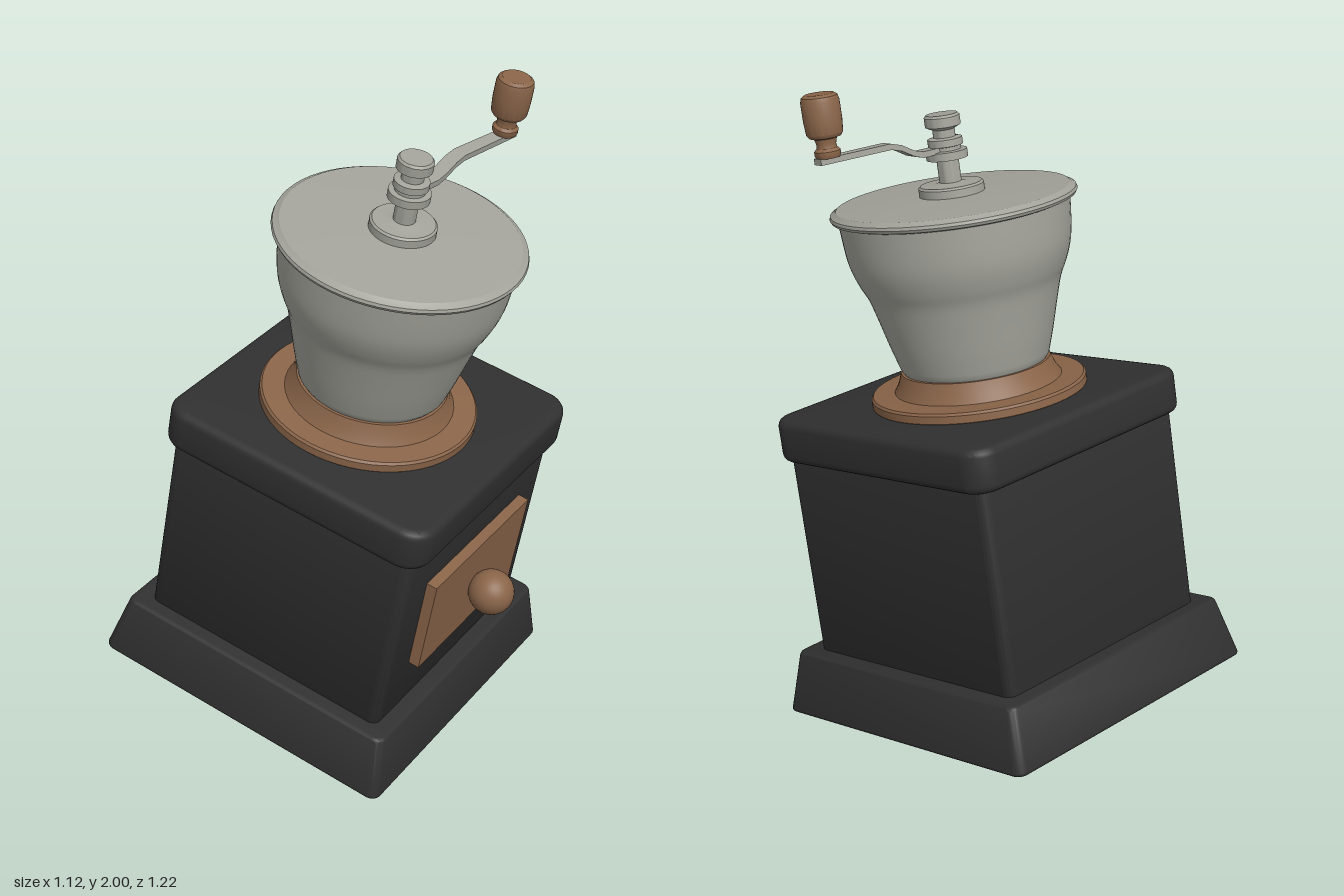
import * as THREE from 'three';
import { toCreasedNormals } from 'three/addons/utils/BufferGeometryUtils.js';

const paint = (color) => new THREE.MeshStandardMaterial({ color });
const deg = THREE.MathUtils.degToRad;

function add(parent, name, geometry, material, x = 0, y = 0, z = 0) {
  const mesh = new THREE.Mesh(geometry, material);
  mesh.name = name;
  mesh.position.set(x, y, z);
  parent.add(mesh);
  return mesh;
}

// Square block standing on y = 0: rounded corners, bevelled edges, optional taper to the top
function block(half, height, radius, bevel, topScale = 1) {
  const a = half - bevel, r = radius - bevel;
  const s = new THREE.Shape();
  s.absarc(a - r, a - r, r, 0, Math.PI / 2);
  s.absarc(-a + r, a - r, r, Math.PI / 2, Math.PI);
  s.absarc(-a + r, -a + r, r, Math.PI, Math.PI * 1.5);
  s.absarc(a - r, -a + r, r, Math.PI * 1.5, Math.PI * 2);
  const g = new THREE.ExtrudeGeometry(s, {
    depth: height - 2 * bevel, bevelSize: bevel, bevelThickness: bevel, bevelSegments: 4, curveSegments: 6,
  });
  g.rotateX(-Math.PI / 2).translate(0, bevel, 0);
  const p = g.attributes.position;
  for (let i = 0; i < p.count; i++) {
    const k = 1 + (topScale - 1) * p.getY(i) / height;
    p.setX(i, p.getX(i) * k);
    p.setZ(i, p.getZ(i) * k);
  }
  return toCreasedNormals(g, deg(35));
}

// Turned part from [radius, y] pairs, bottom to top
function turned(points, segments = 48) {
  const g = new THREE.LatheGeometry(points.map(([r, y]) => new THREE.Vector2(r, y)), segments);
  return toCreasedNormals(g, deg(32));
}

export function createModel() {
  const black = paint(0x303030), wood = paint(0x8a6549), metal = paint(0xa3a39b);
  const root = new THREE.Group();
  root.name = 'coffeeGrinder';

  // The whole grinder leans forward and is turned slightly
  const grinder = new THREE.Group();
  grinder.name = 'leaningGrinder';
  grinder.rotation.set(deg(10.3), deg(6.9), 0, 'YXZ');
  grinder.position.set(-0.005, 0.092, -0.053);
  root.add(grinder);

  // Wooden box
  add(grinder, 'base', block(0.512, 0.195, 0.035, 0.012, 0.92), black);
  add(grinder, 'body', block(0.418, 0.7, 0.03, 0.01), black, 0, 0.16);
  add(grinder, 'boxTop', block(0.452, 0.135, 0.08, 0.025), black, 0, 0.82);

  // Drawer with round knob
  add(grinder, 'drawerFront', new THREE.BoxGeometry(0.555, 0.315, 0.06), wood, 0, 0.514, 0.422);
  add(grinder, 'drawerKnob', new THREE.SphereGeometry(0.07, 32, 20), wood, 0, 0.513, 0.513);

  // Turned parts share one axis
  const mill = new THREE.Group();
  mill.name = 'mill';
  mill.position.set(-0.01, 0, -0.012);
  grinder.add(mill);

  add(mill, 'collar', turned([
    [0, 0.95], [0.322, 0.95], [0.328, 0.957], [0.328, 0.98], [0.322, 0.987],
    [0.255, 0.99], [0.24, 1.015], [0.228, 1.05], [0, 1.05],
  ], 64), wood);

  // Bowl: straight cone flowing into a wider shoulder
  const bowlCurve = new THREE.SplineCurve([
    [0.226, 1.06], [0.247, 1.13], [0.271, 1.22], [0.291, 1.29], [0.312, 1.335],
    [0.33, 1.385], [0.34, 1.44], [0.348, 1.54],
  ].map(([r, y]) => new THREE.Vector2(r, y)));
  const bowl = bowlCurve.getPoints(28).map((p) => [p.x, p.y]);
  add(mill, 'bowl', turned([[0, 1.045], [0.215, 1.045], ...bowl], 64), metal);

  add(mill, 'bowlLid', turned([
    [0, 1.532], [0.355, 1.532], [0.366, 1.536], [0.371, 1.545], [0.368, 1.554],
    [0.358, 1.559], [0.35, 1.565], [0.2, 1.572], [0, 1.575],
  ], 64), metal);

  // Spindle with stacked washers and top nut
  add(mill, 'spindle', turned([
    [0.098, 1.565], [0.098, 1.597], [0.092, 1.603], [0.05, 1.603], [0.033, 1.608], [0.033, 1.678],
    [0.062, 1.678], [0.062, 1.702], [0.045, 1.704], [0.045, 1.715], [0.052, 1.717], [0.052, 1.738],
    [0.033, 1.742], [0.033, 1.765], [0.053, 1.775], [0.053, 1.803], [0.047, 1.81], [0, 1.81],
  ]), metal);

  // Crank: bent flat arm with wooden grip
  const crank = new THREE.Group();
  crank.name = 'crank';
  crank.rotation.y = deg(-10.2);
  mill.add(crank);

  const centre = [[0, 1.708], [0.095, 1.708], [0.125, 1.718], [0.165, 1.742], [0.2, 1.753], [0.437, 1.755]];
  const t = 0.009;
  const side = new THREE.Shape([
    ...centre.map(([x, y]) => new THREE.Vector2(x, y - t)),
    ...centre.slice().reverse().map(([x, y]) => new THREE.Vector2(x, y + t)),
  ]);
  const armGeo = new THREE.ExtrudeGeometry(side, { depth: 0.046, bevelEnabled: false });
  armGeo.translate(0, 0, -0.023);
  const p = armGeo.attributes.position;
  for (let i = 0; i < p.count; i++) p.setZ(i, p.getZ(i) * (1.05 - 0.5 * p.getX(i)));
  add(crank, 'crankArm', toCreasedNormals(armGeo, deg(35)), metal);

  add(crank, 'crankGrip', turned([
    [0, 1.762], [0.034, 1.762], [0.038, 1.77], [0.038, 1.782], [0.03, 1.79], [0.028, 1.8], [0.033, 1.818],
    [0.046, 1.822], [0.053, 1.832], [0.056, 1.87], [0.056, 1.925], [0.052, 1.938], [0.042, 1.945], [0, 1.945],
  ], 32), wood, 0.4);

  return root;
}
